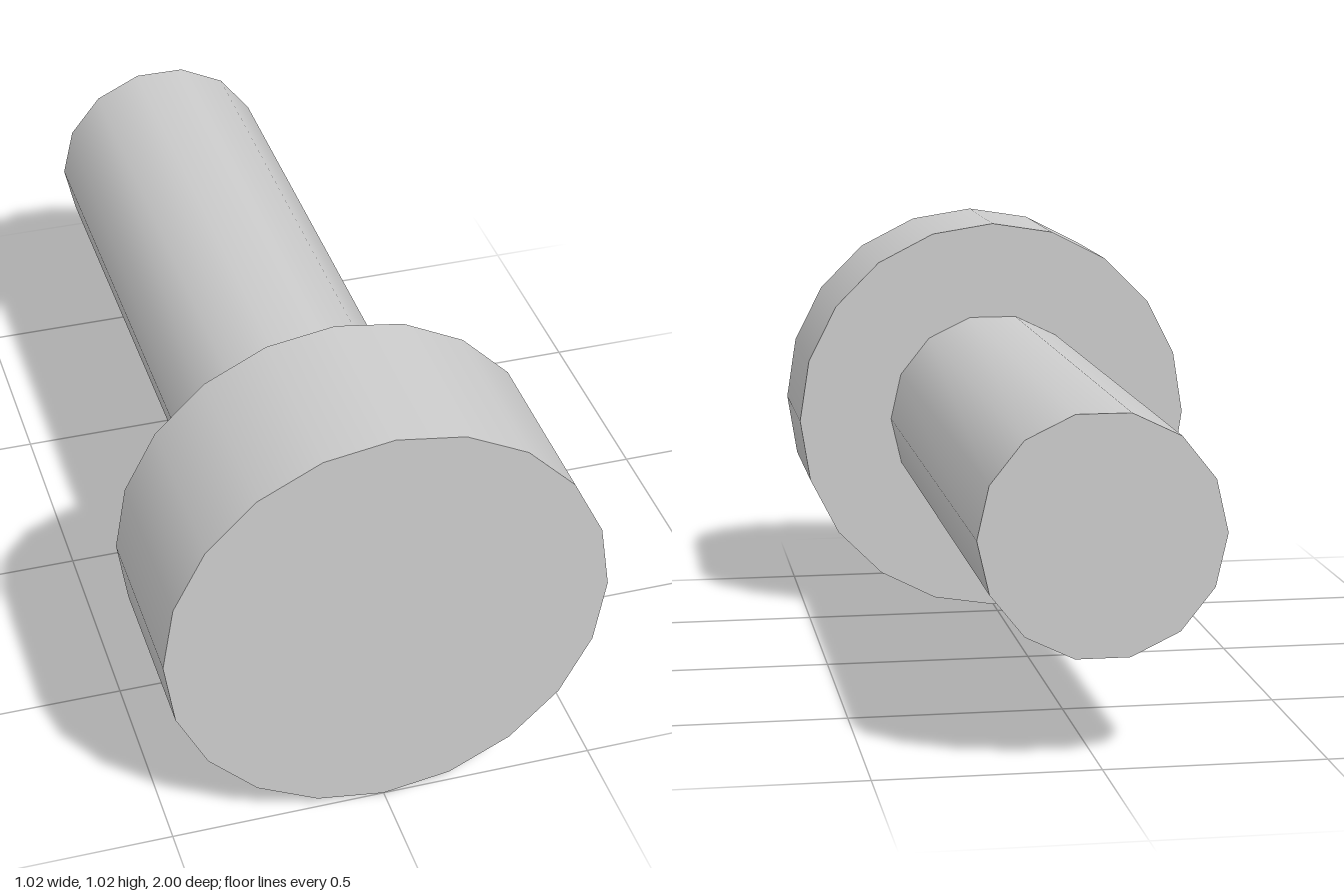
import * as THREE from 'three';

const AXIS_Y = 0.512;

// Solid cylinder lying along z, with a corner pointing to +x
function rod(name, radius, sides, zBack, zFront, material) {
  const geometry = new THREE.CylinderGeometry(
    radius, radius, zFront - zBack, sides, 1, false, Math.PI / 2);
  geometry.rotateX(Math.PI / 2);
  const mesh = new THREE.Mesh(geometry, material);
  mesh.name = name;
  mesh.position.set(0, AXIS_Y, (zBack + zFront) / 2);
  return mesh;
}

export function createModel() {
  const steel = new THREE.MeshStandardMaterial({ color: 0xcccccc });
  steel.name = 'light grey';

  const bolt = new THREE.Group();
  bolt.name = 'bolt';
  // Wide head at the front, narrow shank running back
  bolt.add(rod('head', 0.512, 20, 0.574, 1, steel));
  bolt.add(rod('shank', 0.272, 14, -1, 0.574, steel));
  return bolt;
}
